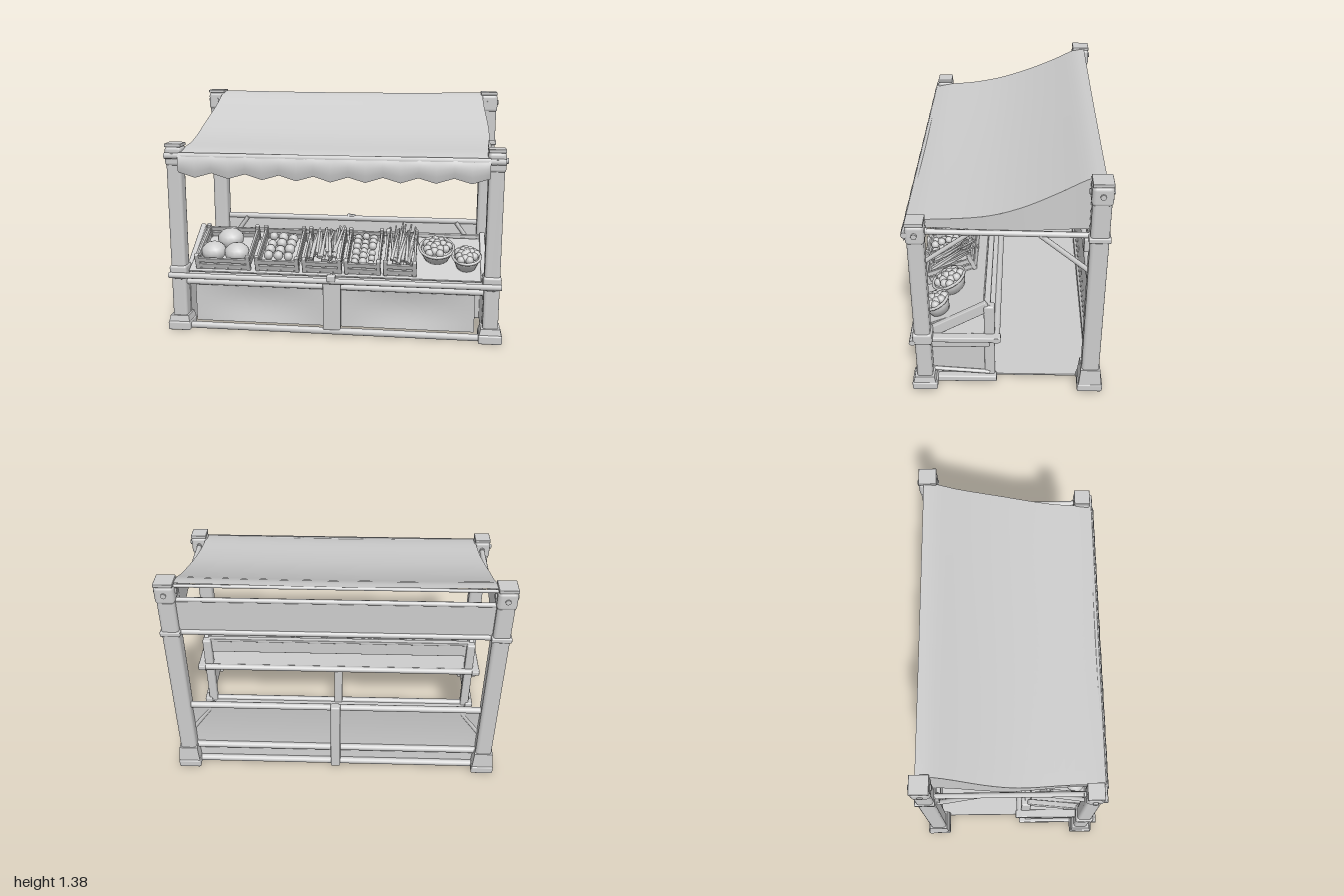
import * as THREE from 'three';
import { RoundedBoxGeometry } from 'three/addons/geometries/RoundedBoxGeometry.js';

const clay = new THREE.MeshStandardMaterial({ color: 0xcccccc });
clay.name = 'light grey';
clay.side = THREE.DoubleSide;

export function createModel() {
  const root = new THREE.Group();
  root.name = 'marketStall';
  let seed = 7;
  const rnd = () => (seed = (seed * 16807) % 2147483647) / 2147483647;

  const add = (name, geo, parent = root) => {
    const m = new THREE.Mesh(geo, clay);
    m.name = name;
    parent.add(m);
    return m;
  };
  const block = (name, w, h, d, x, y, z, parent = root) => {
    const r = Math.min(w, h, d) * 0.2;
    const m = add(name, new RoundedBoxGeometry(w, h, d, 2, r), parent);
    m.position.set(x, y, z);
    return m;
  };
  // Round bar between two points
  const beam = (name, a, b, r, parent = root, r2 = r) => {
    const p = new THREE.Vector3(...a), q = new THREE.Vector3(...b);
    const m = add(name, new THREE.CylinderGeometry(r2, r, p.distanceTo(q), 8), parent);
    m.position.copy(p).add(q).multiplyScalar(0.5);
    m.quaternion.setFromUnitVectors(new THREE.Vector3(0, 1, 0), q.sub(p).normalize());
    return m;
  };
  const ball = (name, r, x, y, z, parent, sy = 1, sx = 1) => {
    const m = add(name, new THREE.SphereGeometry(r, 12, 8), parent);
    m.position.set(x, y, z);
    m.scale.set(sx, sy, 1);
  };
  // Sheet from a rule (u, v) -> [x, y, z]
  const sheet = (name, nu, nv, f) => {
    const g = new THREE.PlaneGeometry(1, 1, nu, nv), p = g.attributes.position;
    for (let i = 0; i < p.count; i++) p.setXYZ(i, ...f(p.getX(i) + 0.5, p.getY(i) + 0.5));
    g.computeVertexNormals();
    return add(name, g);
  };
  // Block narrowed at its top
  const taper = (name, w, h, k, x, y, z) => {
    const g = new THREE.BoxGeometry(w, h, w), p = g.attributes.position;
    for (let i = 0; i < p.count; i++)
      if (p.getY(i) > 0) { p.setX(i, p.getX(i) * k); p.setZ(i, p.getZ(i) * k); }
    g.computeVertexNormals();
    add(name, g).position.set(x, y, z);
  };

  // Corner posts with bases, collars, caps and bolts
  for (const s of [-1, 1]) {
    for (const [z, top, w, baseH] of [[0.473, 1.14, 0.09, 0.09], [-0.478, 1.385, 0.1, 0.155]]) {
      const x = s * 0.931;
      block('postFoot', 0.138, 0.055, 0.145, x, 0.028, z);
      taper('postBase', 0.132, baseH - 0.045, 0.85, x, (baseH + 0.045) / 2, z);
      block('post', w, top - 0.04, w, x, (top - 0.02) / 2, z);
      block('postCollar', w + 0.012, 0.115, w + 0.012, x, top - 0.075, z);
      block('postCap', w + 0.008, 0.02, w + 0.008, x, top - 0.01, z);
      beam('postBoltAcross', [x - 0.064, top - 0.07, z], [x + 0.064, top - 0.07, z], 0.016);
      beam('postBoltThrough', [x, top - 0.07, z - 0.064], [x, top - 0.07, z + 0.064], 0.016);
    }
    block('counterCollar', 0.106, 0.075, 0.11, s * 0.931, 0.365, 0.473);
    block('rearPostRing', 0.115, 0.03, 0.115, s * 0.931, 1.05, -0.478);
    block('rearPostBracket', 0.05, 0.08, 0.03, s * 0.931, 1.0, -0.415);

    // Roof side beams and diagonal braces
    const bx = s * 0.93;
    beam('roofSideBeam', [bx, 1.065, 0.46], [bx, 1.05, -0.47], 0.016);
    beam('frontBrace', [bx, 0.87, 0.44], [bx, 1.05, 0.2], 0.013);
    beam('rearBrace', [bx, 0.82, -0.44], [bx, 1.05, -0.17], 0.015);
    beam('rearWallBrace', [s * 0.9, 0.26, -0.46], [s * 0.74, 0.48, -0.46], 0.014);
  }

  // Sagging awning, its side cheeks and scalloped front edge
  const curve = new THREE.CatmullRomCurve3([[-0.5, 1.378], [-0.43, 1.365], [-0.28, 1.29],
    [-0.1, 1.21], [0.08, 1.152], [0.26, 1.122], [0.44, 1.108], [0.525, 1.09]]
    .map(([z, y]) => new THREE.Vector3(0, y, z)));
  const half = v => 0.9 - 0.012 * Math.sin(v * Math.PI * 3);
  sheet('awning', 24, 24, (u, v) => {
    const p = curve.getPoint(v);
    return [(u * 2 - 1) * half(v), p.y - 0.008 * Math.sin(u * Math.PI), p.z + 0.008 * (v > 0.9 ? Math.abs(u - 0.5) : 0)];
  });
  for (const s of [-1, 1])
    sheet('awningCheek', 24, 1, (u, v) => {
      const p = curve.getPoint(0.06 + u * 0.88);
      return [s * half(0.06 + u * 0.88), v ? p.y : Math.min(1.06, p.y), p.z];
    });
  sheet('awningValance', 72, 4, (u, v) => {
    const wave = Math.abs(((u * 9) % 1) - 0.5) * 2;
    const low = 0.938 + 0.03 * wave + 0.02 * Math.abs(u - 0.5);
    return [(u * 2 - 1) * 0.895, low + (1.092 - low) * v, 0.53 + 0.018 * Math.sin(v * 3) + 0.012 * (1 - v)];
  });
  beam('awningFrontBeam', [-0.98, 1.07, 0.525], [0.98, 1.07, 0.525], 0.018);
  beam('awningInnerBeam', [-0.93, 1.06, 0.47], [0.93, 1.06, 0.47], 0.016);

  // Upper back wall
  beam('upperWallRail', [-0.93, 1.265, -0.49], [0.93, 1.265, -0.49], 0.014);
  beam('upperWallLowerRail', [-0.93, 1.045, -0.49], [0.93, 1.045, -0.49], 0.018);
  beam('ridgeRail', [-0.93, 1.355, -0.49], [0.93, 1.355, -0.49], 0.01);
  block('upperWallPanel', 1.8, 0.21, 0.008, 0, 1.155, -0.49);

  // Lower back wall, floor and ground beams
  beam('lowerWallRail', [-0.93, 0.485, -0.485], [0.93, 0.485, -0.485], 0.02);
  beam('lowerWallMidRail', [-0.93, 0.14, -0.475], [0.93, 0.14, -0.475], 0.022);
  beam('rearGroundBeam', [-0.93, 0.03, -0.485], [0.93, 0.03, -0.485], 0.022);
  block('rearMiddlePost', 0.06, 0.5, 0.05, 0, 0.26, -0.5);
  sheet('lowerWallCloth', 20, 6, (u, v) =>
    [(u * 2 - 1) * 0.89, 0.04 + v * 0.44, -0.475 + 0.012 * Math.sin(v * Math.PI)]);
  block('floor', 1.76, 0.012, 0.58, 0, 0.016, -0.19);

  // Counter frame
  block('counterShelf', 1.84, 0.022, 0.48, 0, 0.335, 0.285);
  beam('counterFrontRail', [-0.985, 0.345, 0.53], [0.985, 0.345, 0.53], 0.018);
  beam('counterRearRail', [-0.95, 0.335, 0.06], [0.95, 0.335, 0.06], 0.02);
  beam('counterUnderRail', [-0.93, 0.295, 0.48], [0.93, 0.295, 0.48], 0.018);
  beam('counterGroundBeam', [-0.93, 0.025, 0.5], [0.93, 0.025, 0.5], 0.022);
  beam('counterRearGroundBeam', [-0.9, 0.025, 0.1], [0.9, 0.025, 0.1], 0.02);
  block('counterMiddlePost', 0.105, 0.31, 0.05, 0, 0.19, 0.495);
  block('counterMiddleKnob', 0.05, 0.04, 0.04, 0, 0.365, 0.53);
  block('counterRearMiddlePost', 0.055, 0.33, 0.05, 0, 0.17, 0.1);
  for (const s of [-1, 1]) {
    sheet('counterFrontCloth', 12, 6, (u, v) =>
      [s * (0.05 + u * 0.79), 0.045 + v * 0.26, 0.47 - 0.02 * Math.sin(u * Math.PI) * Math.sin(v * Math.PI)]);
    block('counterSidePanel', 0.01, 0.24, 0.32, s * 0.89, 0.16, 0.275);
    block('counterSideRail', 0.04, 0.052, 0.34, s * 0.9, 0.287, 0.27);
    block('counterSideTop', 0.05, 0.032, 0.5, s * 0.925, 0.337, 0.285);
    block('counterSideFoot', 0.05, 0.04, 0.46, s * 0.91, 0.027, 0.29);
    beam('counterSideBar', [s * 0.905, 0.085, 0.42], [s * 0.905, 0.06, 0.1], 0.012);
    block('counterRearPost', 0.055, 0.54, 0.06, s * 0.88, 0.275, 0.1);
    const arm = block('displayArm', 0.032, 0.065, 0.38, s * 0.885, 0.445, 0.27);
    arm.rotation.x = 0.53;
  }
  block('displayBackBoard', 1.76, 0.105, 0.018, 0, 0.485, 0.11);
  block('displayBackRail', 1.78, 0.022, 0.036, 0, 0.535, 0.11);

  // Tilted display with crates of produce
  const display = new THREE.Group();
  display.name = 'produceDisplay';
  display.position.set(0, 0.365, 0.5);
  display.rotation.x = 0.4;
  root.add(display);
  block('displayBoard', 1.74, 0.012, 0.4, 0, 0, -0.2, display);

  const crate = (x, w) => {
    const g = new THREE.Group();
    g.name = 'crate';
    g.position.set(x, 0.012, -0.18);
    display.add(g);
    block('crateFloor', w, 0.01, 0.32, 0, 0, 0, g);
    for (const s of [-1, 1]) {
      for (const y of [0.02, 0.06]) {
        block('crateEndSlat', w, 0.03, 0.014, 0, y, s * 0.155, g);
        block('crateSideSlat', 0.014, 0.03, 0.32, s * w / 2, y, 0, g);
      }
      for (const t of [-1, 1])
        block('crateCorner', 0.026, 0.105, 0.026, s * w / 2, 0.045, t * 0.15, g);
    }
    return g;
  };
  const roundFill = (g, w, r) => {
    const nx = Math.max(2, Math.floor((w - 0.03) / (2 * r))), nz = Math.floor(0.29 / (2 * r));
    for (let i = 0; i < nx; i++)
      for (let j = 0; j < nz; j++)
        ball('roundFruit', r * (0.9 + rnd() * 0.2), (i - (nx - 1) / 2) * 2 * r,
          0.045 + rnd() * 0.022, (j - (nz - 1) / 2) * 2 * r, g);
  };
  const stickFill = (g, w, n, lift, r) => {
    for (let i = 0; i < n; i++) {
      const x = (rnd() - 0.5) * (w - 0.05), z = 0.12 - rnd() * 0.08, y = 0.03 + rnd() * 0.035;
      beam('longVegetable', [x, y, z],
        [x + (rnd() - 0.5) * 0.09, y + lift * (0.5 + rnd() * 0.5), z - 0.2 - rnd() * 0.05], r, g, r * 0.45);
    }
  };
  const melons = crate(-0.66, 0.31);
  for (const [x, z, r] of [[-0.075, 0.06, 0.07], [0.07, 0.065, 0.07], [0.0, -0.07, 0.075]])
    ball('melon', r, x, 0.055, z, melons, 0.8, 1.1);
  roundFill(crate(-0.33, 0.24), 0.24, 0.03);
  stickFill(crate(-0.06, 0.21), 0.21, 26, 0.04, 0.013);
  roundFill(crate(0.18, 0.19), 0.19, 0.024);
  stickFill(crate(0.4, 0.17), 0.17, 30, 0.07, 0.011);

  // Woven baskets at the right end
  for (const [x, z, r] of [[0.61, -0.2, 0.1], [0.785, -0.13, 0.08]]) {
    const g = new THREE.Group();
    g.name = 'basket';
    g.position.set(x, 0.01, z);
    display.add(g);
    const profile = [[0.01, 0], [r * 0.72, 0], [r * 0.92, 0.045], [r, 0.075], [r * 0.9, 0.07]];
    add('basketBowl', new THREE.LatheGeometry(profile.map(p => new THREE.Vector2(...p)), 20), g);
    const rim = add('basketRim', new THREE.TorusGeometry(r, 0.009, 6, 20), g);
    rim.rotation.x = Math.PI / 2;
    rim.position.y = 0.075;
    for (let i = 0; i < 16; i++) {
      const a = i * 2.4, d = r * 0.78 * Math.sqrt(i / 16);
      ball('basketFruit', 0.025, Math.cos(a) * d, 0.095 - d * 0.25, Math.sin(a) * d, g);
    }
  }
  return root;
}
